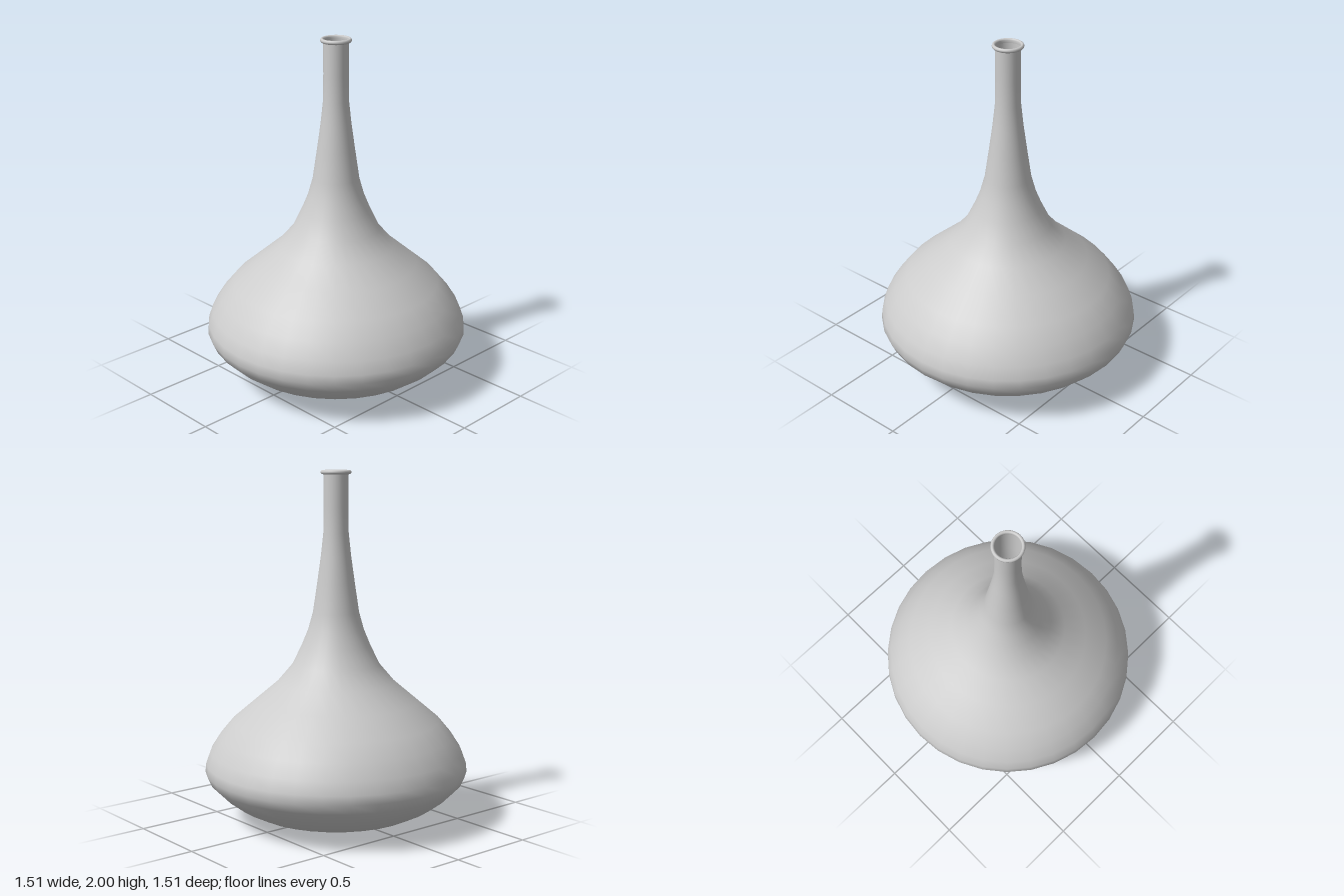
import * as THREE from 'three';

const SEGMENTS = 32;

export function createModel() {
  const group = new THREE.Group();
  const material = new THREE.MeshStandardMaterial({ color: 0xcccccc, side: THREE.DoubleSide });

  // Revolve a list of [radius, height] pairs around the y axis
  const lathe = (name, profile) => {
    const points = profile.map(([r, y]) => new THREE.Vector2(r, y));
    const mesh = new THREE.Mesh(new THREE.LatheGeometry(points, SEGMENTS), material);
    mesh.name = name;
    group.add(mesh);
  };

  // Flat foot
  lathe('base', [[0, 0], [0.22, 0.003]]);

  // Thin-walled squat belly sweeping up into the long neck
  lathe('body', [
    [0.22, 0.003], [0.36, 0.025], [0.49, 0.056], [0.585, 0.105], [0.665, 0.165],
    [0.73, 0.23], [0.755, 0.285], [0.75, 0.335], [0.725, 0.405], [0.67, 0.49],
    [0.595, 0.58], [0.465, 0.69], [0.335, 0.8], [0.25, 0.9], [0.197, 1.01],
    [0.16, 1.1], [0.132, 1.2], [0.107, 1.37], [0.086, 1.52], [0.072, 1.65],
    [0.07, 1.8], [0.07, 1.98],
  ]);

  // Rounded lip around the open mouth
  lathe('rim', [
    [0.07, 1.976], [0.08, 1.977], [0.086, 1.983], [0.087, 1.989],
    [0.085, 1.996], [0.079, 2], [0.072, 1.998], [0.068, 1.991], [0.07, 1.976],
  ]);

  return group;
}
